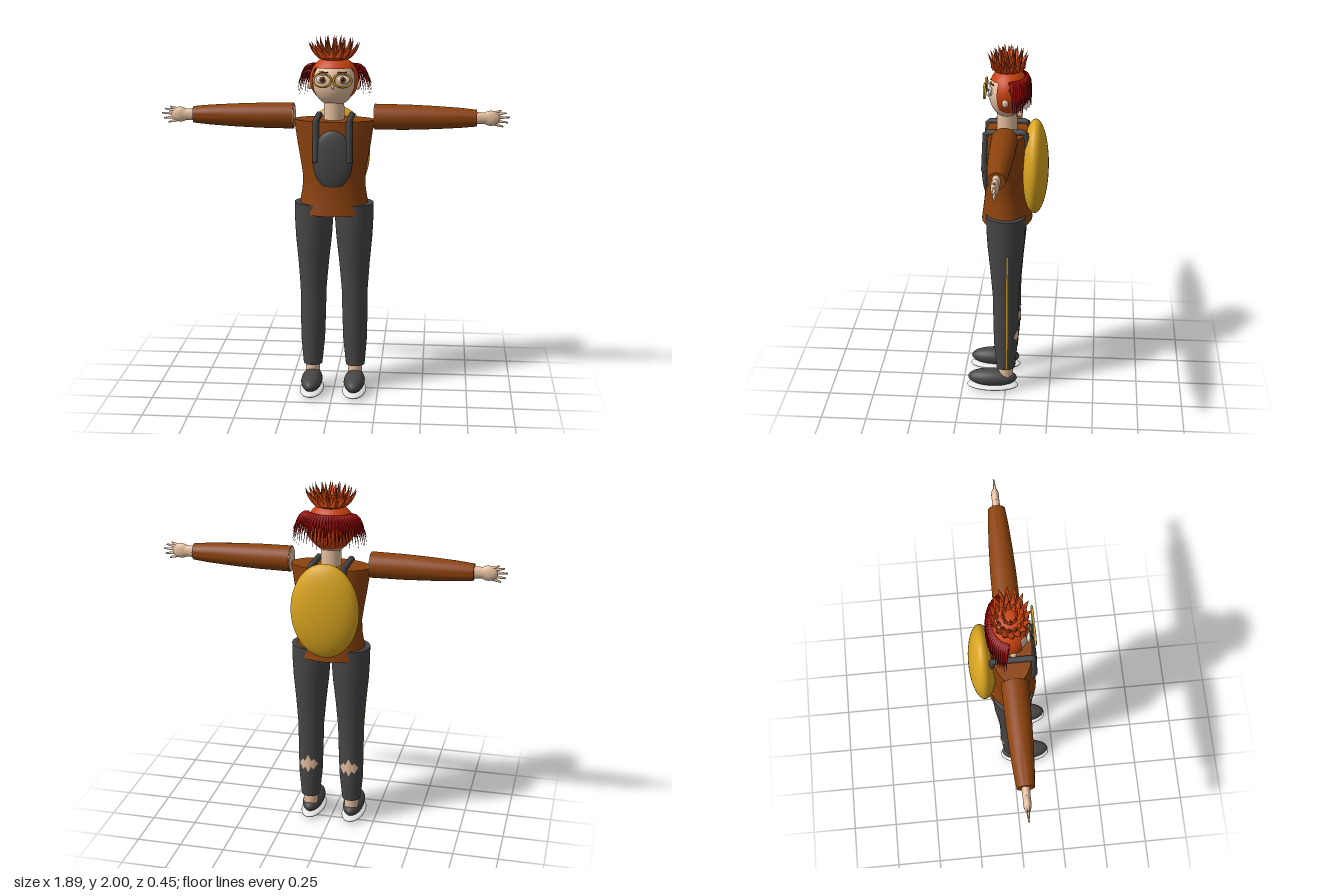
import * as THREE from 'three';
import { toCreasedNormals } from 'three/addons/utils/BufferGeometryUtils.js';

const V = (x, y, z) => new THREE.Vector3(x, y, z);
const lerp = THREE.MathUtils.lerp;
const mat = (name, color) => Object.assign(new THREE.MeshStandardMaterial({ color }), { name });

const M = {
  sweater: mat('sweater brown', 0x8b420c),
  trousers: mat('charcoal', 0x484646),
  gold: mat('gold', 0xdaa520),
  skin: mat('skin', 0xe6c0a0),
  hair: mat('orange hair', 0xc8420e),
  darkHair: mat('dark red hair', 0x8b0000),
  white: mat('white', 0xe6e6e6),
  black: mat('black', 0x141414),
};
M.hair.side = THREE.DoubleSide;

function add(parent, name, geometry, material, pos = [0, 0, 0]) {
  const m = new THREE.Mesh(geometry, material);
  m.name = name;
  m.position.set(...pos);
  parent.add(m);
  return m;
}

const ball = (rx, ry, rz, ws = 32, hs = 20) => new THREE.SphereGeometry(1, ws, hs).scale(rx, ry, rz);

// Piecewise linear value of a [y, value] profile
function sample(profile, y) {
  for (let i = 1; i < profile.length; i++) {
    const [y0, a] = profile[i - 1], [y1, b] = profile[i];
    if (y <= y1) return lerp(a, b, Math.max(0, (y - y0) / (y1 - y0)));
  }
  return profile[profile.length - 1][1];
}

// Closed turned shape from [y, radius] pairs, with an optional rule for moving its points
function turned(profile, rule) {
  const pts = [[profile[0][0], 0], ...profile, [profile[profile.length - 1][0], 0]];
  const g = new THREE.LatheGeometry(pts.map(([y, r]) => new THREE.Vector2(r, y)), 36);
  if (rule) {
    const p = g.attributes.position;
    for (let i = 0; i < p.count; i++) p.setXYZ(i, ...rule(p.getX(i), p.getY(i), p.getZ(i)));
  }
  return toCreasedNormals(g, 0.7);
}

// Pointed lock following a quadratic curve
function lock(a, b, c, r, flat = 0.6) {
  const g = new THREE.ConeGeometry(r, 1, 6, 5).translate(0, 0.5, 0);
  const curve = new THREE.QuadraticBezierCurve3(a, b, c), p = g.attributes.position;
  const out = V(a.x, 0, a.z).normalize(), side = V(out.z, 0, -out.x);
  for (let i = 0; i < p.count; i++) {
    const t = p.getY(i), dir = curve.getTangent(t);
    const depth = V().crossVectors(side, dir).normalize();
    const q = curve.getPoint(t).addScaledVector(side, p.getX(i)).addScaledVector(depth, p.getZ(i) * flat);
    p.setXYZ(i, q.x, q.y, q.z);
  }
  g.computeVertexNormals();
  return g;
}

const legProfile = [[0.15, 0.053], [0.3, 0.067], [0.42, 0.07], [0.6, 0.073], [0.75, 0.085], [0.9, 0.1], [1.0, 0.106], [1.09, 0.108]];
const legX = (y) => lerp(0.12, 0.11, (y - 0.15) / 0.94);

// Thin sheet on the surface of a leg, from rows of [y, half angle]
function legSheet(rows, angle, side) {
  const n = 6, pos = [], idx = [];
  rows.forEach(([y, w], i) => {
    for (let j = 0; j <= n; j++) {
      const a = angle + lerp(-w, w, j / n), r = sample(legProfile, y) + 0.003;
      pos.push(side * legX(y) + r * Math.sin(a), y, r * Math.cos(a));
      if (i && j) {
        const d = i * (n + 1) + j, c = d - 1, b = d - n - 1, e = b - 1;
        idx.push(e, b, c, b, d, c);
      }
    }
  });
  const g = new THREE.BufferGeometry();
  g.setAttribute('position', new THREE.Float32BufferAttribute(pos, 3));
  g.setIndex(idx);
  g.computeVertexNormals();
  return g;
}

function buildLeg(side) {
  const leg = new THREE.Group();
  leg.name = side > 0 ? 'leftLeg' : 'rightLeg';
  const x = side * 0.12;
  add(leg, 'trouserLeg', turned(legProfile, (px, y, z) => [px + side * legX(y), y, z]), M.trousers);
  const stripe = Array.from({ length: 21 }, (_, i) => [lerp(0.155, 0.88, i / 20), 0.045]);
  add(leg, 'sideStripe', legSheet(stripe, side * (Math.PI / 2 + 0.14), side), M.gold);
  // torn patch of overlapping diamonds on the calf
  [[-0.45, 0.362, 0.034], [0, 0.37, 0.055], [0.45, 0.366, 0.034]].forEach(([turn, y, h]) => {
    add(leg, 'tornPatch', legSheet([[y - h, 0.01], [y, 0.38], [y + h, 0.01]], Math.PI + turn, side), M.skin);
  });
  add(leg, 'ankle', new THREE.CylinderGeometry(0.04, 0.04, 0.1, 24), M.skin, [x, 0.12, 0]);
  add(leg, 'shoe', ball(0.059, 0.05, 0.14), M.trousers, [x, 0.073, 0.077]);
  add(leg, 'sole', ball(0.067, 0.02, 0.147), M.white, [x, 0.023, 0.077]);
  return leg;
}

function buildArm(side) {
  const arm = new THREE.Group();
  arm.name = side > 0 ? 'leftArm' : 'rightArm';
  arm.position.y = 1.565;
  const along = (g) => g.rotateZ(-side * Math.PI / 2);
  add(arm, 'sleeve', along(turned([[0.22, 0.07], [0.4, 0.068], [0.55, 0.062], [0.68, 0.054], [0.77, 0.045]])), M.sweater);
  add(arm, 'shoulderEnd', along(new THREE.CylinderGeometry(0.064, 0.064, 0.008, 32)), M.skin, [side * 0.22, 0, 0]);
  add(arm, 'wrist', along(new THREE.CylinderGeometry(0.03, 0.034, 0.07, 24).scale(1, 1, 0.65)), M.skin, [side * 0.795, 0, 0]);
  add(arm, 'palm', ball(0.05, 0.041, 0.021), M.skin, [side * 0.845, 0, 0]);
  // thumb and fingers fanned out
  [[0.9, 0.043], [0.928, 0.03], [0.945, 0.006], [0.936, -0.022], [0.912, -0.045]].forEach(([tx, ty]) => {
    const from = V(side * 0.855, ty * 0.6, 0), to = V(side * tx, ty, 0), d = to.clone().sub(from);
    const f = add(arm, 'finger', new THREE.CylinderGeometry(0.004, 0.011, d.length(), 10), M.skin);
    f.position.copy(from).add(to).multiplyScalar(0.5);
    f.quaternion.setFromUnitVectors(V(0, 1, 0), d.normalize());
  });
  return arm;
}

function buildHead() {
  const head = new THREE.Group();
  head.name = 'head';
  add(head, 'neck', new THREE.CylinderGeometry(0.054, 0.056, 0.16, 28), M.skin, [0, 1.6, 0]);
  add(head, 'face', ball(0.115, 0.128, 0.097), M.skin, [0, 1.75, 0]);
  add(head, 'nose', ball(0.008, 0.011, 0.01, 12, 8), M.skin, [0, 1.735, 0.096]);

  // hair: full cap above the hairline, then the sides and back
  const top = 1.03, open = 1.03;
  const shell = (...args) => new THREE.SphereGeometry(1, 40, 16, ...args).scale(0.133, 0.13, 0.108);
  add(head, 'hairCap', shell(0, Math.PI * 2, 0, top), M.hair, [0, 1.765, -0.008]);
  add(head, 'hairBack', shell(Math.PI / 2 + open, Math.PI * 2 - 2 * open, top, 1.65), M.hair, [0, 1.765, -0.008]);

  // crown of spikes
  add(head, 'topKnot', ball(0.094, 0.03, 0.088), M.hair, [0, 1.895, -0.005]);
  [[16, 0.076, 0.138, 1.968, 0], [13, 0.056, 0.1, 1.992, 0.2], [8, 0.03, 0.05, 2.0, 0]].forEach(([n, r0, r1, y, turn]) => {
    for (let i = 0; i < n; i++) {
      const a = (i / n) * Math.PI * 2 + turn, s = Math.sin(a), c = Math.cos(a);
      add(head, 'crownSpike', lock(V(s * r0, 1.89, c * r0), V(s * r1 * 0.9, 1.92, c * r0 * 1.1), V(s * r1, y, c * r1 * 0.78), 0.025), M.hair, [0, 0, -0.005]);
    }
  });

  // dark strands hanging around the back in two layers
  [[28, 0, 1.685], [23, 0.035, 1.73]].forEach(([n, drop, tip]) => {
    for (let i = 0; i < n; i++) {
      const a = lerp(1.78, Math.PI * 2 - 1.78, i / (n - 1)), s = Math.sin(a), c = Math.cos(a);
      const end = tip - (i % 3) * 0.01;
      add(head, 'darkStrand', lock(V(s * 0.118, 1.84 - drop, c * 0.088 - 0.01), V(s * 0.185, 1.855 - drop, c * 0.12 - 0.015),
        V(s * 0.207, end, c * 0.108 - 0.018), 0.016), M.darkHair);
    }
  });

  for (const side of [-1, 1]) {
    const x = side * 0.054, y = 1.775;
    add(head, 'ear', ball(0.014, 0.022, 0.018, 16, 10), M.skin, [side * 0.129, 1.733, 0.002]);
    add(head, 'eyeWhite', ball(0.037, 0.023, 0.01), M.white, [x, y, 0.084]);
    add(head, 'iris', ball(0.016, 0.018, 0.004, 20, 10), M.sweater, [x, y, 0.0925]);
    add(head, 'pupil', ball(0.007, 0.008, 0.003, 16, 8), M.black, [x, y, 0.0955]);
    const brow = add(head, 'eyebrow', new THREE.BoxGeometry(0.05, 0.005, 0.008), M.sweater, [side * 0.05, 1.813, 0.078]);
    brow.rotation.y = side * 0.45;
    // glasses
    add(head, 'glassesRim', new THREE.TorusGeometry(0.047, 0.006, 10, 36).scale(1, 0.78, 1), M.gold, [x, y, 0.115]);
  }
  add(head, 'glassesBridge', new THREE.BoxGeometry(0.022, 0.007, 0.007), M.gold, [0, 1.78, 0.115]);
  return head;
}

export function createModel() {
  const model = new THREE.Group();
  model.name = 'traveller';

  // sweater body, flatter at the shoulders than at the hem
  const depth = [[1.24, 0.7], [1.4, 0.6], [1.55, 0.5]];
  const body = [[1.035, 0.198], [1.1, 0.186], [1.17, 0.174], [1.24, 0.171], [1.32, 0.183], [1.42, 0.2], [1.55, 0.219]];
  add(model, 'torso', turned(body, (x, y, z) => [x, y, z * sample(depth, y)]), M.sweater);

  // backpack, chest panel and straps
  add(model, 'backpack', ball(0.187, 0.265, 0.074, 48, 32), M.gold, [0, 1.335, -0.151]);
  add(model, 'chestPanel', ball(0.108, 0.162, 0.028), M.trousers, [0, 1.343, 0.11]);
  for (const side of [-1, 1]) {
    const x = side * 0.09;
    const path = new THREE.CurvePath();
    const pts = [V(x, 1.34, 0.118), V(x, 1.555, 0.108), V(x, 1.56, -0.1), V(x, 1.45, -0.12)];
    for (let i = 1; i < pts.length; i++) path.add(new THREE.LineCurve3(pts[i - 1], pts[i]));
    add(model, 'strap', new THREE.TubeGeometry(path, 48, 0.017, 10), M.trousers);
    add(model, 'strapEnd', ball(0.017, 0.01, 0.017, 12, 8), M.trousers, [x, 1.34, 0.118]);
    model.add(buildLeg(side), buildArm(side));
  }

  model.add(buildHead());
  return model;
}
